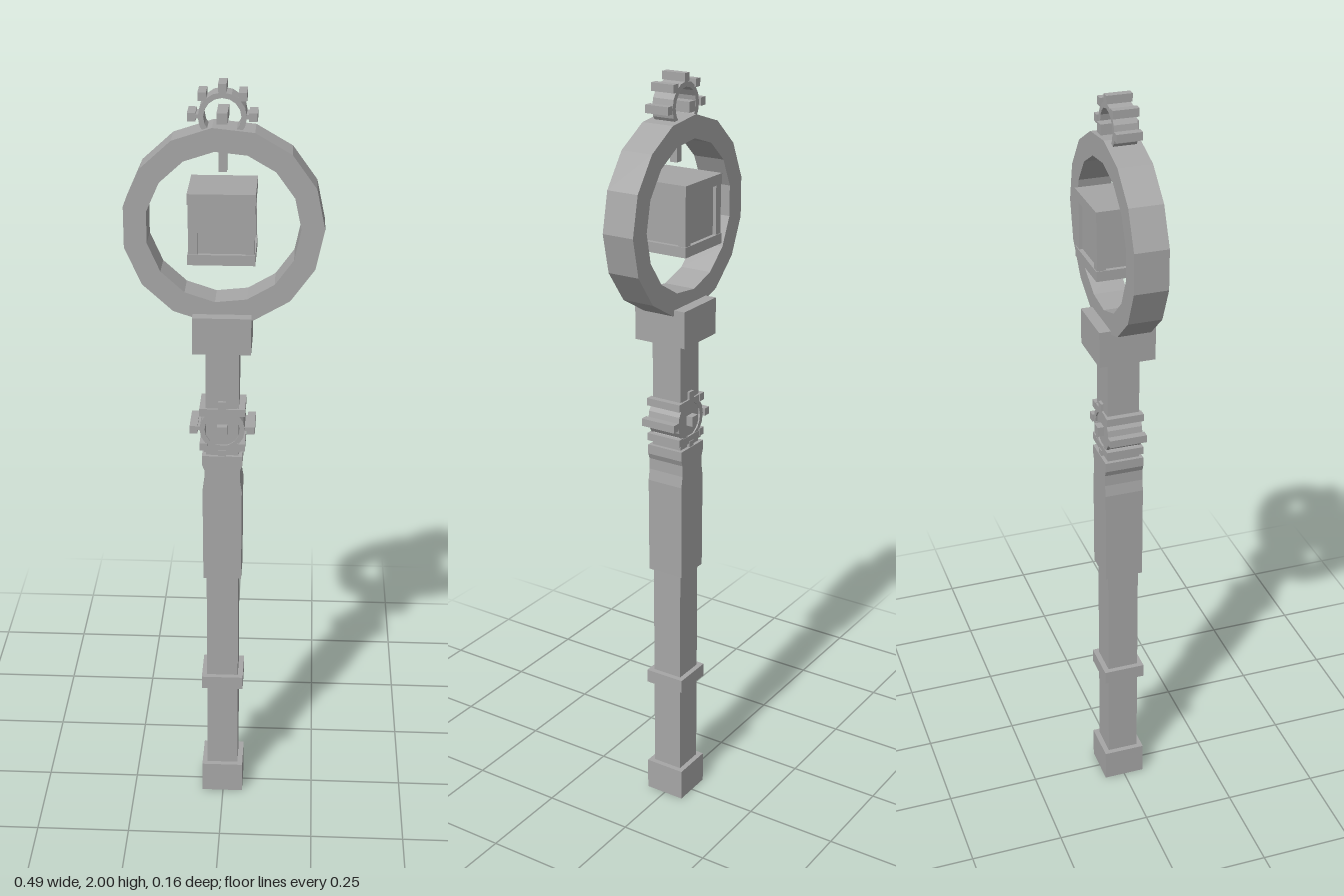
import * as THREE from 'three';

export function createModel() {
  const root = new THREE.Group();
  root.name = 'staff';
  const stone = new THREE.MeshStandardMaterial({ color: 0xa6a6a6, flatShading: true });
  stone.name = 'grey stone';
  const CX = -0.002; // the shaft sits a hair off the ring's axis

  const add = (geometry, name, parent = root) => {
    const mesh = new THREE.Mesh(geometry, stone);
    mesh.name = name;
    parent.add(mesh);
    return mesh;
  };

  const box = (name, w, h, d, x, y, z = 0, parent = root) => {
    const mesh = add(new THREE.BoxGeometry(w, h, d), name, parent);
    mesh.position.set(x, y, z);
    return mesh;
  };

  // Square block given by its bottom and top heights
  const block = (name, width, y0, y1) => box(name, width, y1 - y0, width, CX, (y0 + y1) / 2);

  const polygon = (radius, sides) => Array.from({ length: sides }, (_, i) => {
    const a = (i / sides) * Math.PI * 2;
    return new THREE.Vector2(radius * Math.cos(a), radius * Math.sin(a));
  });

  // Flat-sided ring facing z
  const ring = (name, outer, inner, sides, depth, y, parent = root) => {
    const shape = new THREE.Shape(polygon(outer, sides));
    shape.holes.push(new THREE.Path(polygon(inner, sides)));
    const geometry = new THREE.ExtrudeGeometry(shape, { depth, bevelEnabled: false });
    geometry.translate(0, 0, -depth / 2);
    const mesh = add(geometry, name, parent);
    mesh.position.set(0, y, 0);
    return mesh;
  };

  // Small gear: ring, eight teeth and a longer hub
  const gear = (name, y, depth, hubDepth) => {
    const group = new THREE.Group();
    group.name = name;
    group.position.set(CX, y, 0);
    ring('gearRing', 0.058, 0.045, 16, depth - 0.006, 0, group);
    for (let i = 0; i < 8; i++) {
      const a = (i * Math.PI) / 4;
      const r = i % 4 === 0 ? 0.073 : 0.068;
      box('gearTooth', 0.02, 0.02, depth, r * Math.cos(a), r * Math.sin(a), 0, group);
      const spoke = box('toothRoot', 0.014, 0.01, depth * 0.8, 0.06 * Math.cos(a), 0.06 * Math.sin(a), 0, group);
      spoke.rotation.z = a;
    }
    box('gearHub', 0.026, 0.026, hubDepth, 0, 0, 0, group);
    root.add(group);
  };

  // Shaft with its foot, collar and head block
  block('shaft', 0.084, 0.05, 1.38);
  block('foot', 0.112, 0, 0.088);
  block('collar', 0.112, 0.343, 0.38);
  block('headBlock', 0.146, 1.34, 1.435);

  // Grip, notched on both sides near its top
  const side = [[0.05, 0.69], [0.051, 0.95], [0.046, 0.98], [0.046, 1.01], [0.052, 1.025], [0.052, 1.05]];
  const outline = [...side, ...side.slice().reverse().map(([x, y]) => [-x, y])];
  const grip = new THREE.ExtrudeGeometry(
    new THREE.Shape(outline.map(([x, y]) => new THREE.Vector2(x, y))),
    { depth: 0.102, bevelEnabled: false }
  );
  grip.translate(CX, 0, -0.051);
  add(grip, 'grip');

  // Two slim bands under the lower gear
  block('gripBand', 0.094, 1.06, 1.08);
  block('upperBand', 0.094, 1.165, 1.18);

  gear('shaftGear', 1.123, 0.098, 0.118);
  gear('crownGear', 1.922, 0.064, 0.094);

  // Large fifteen-sided hoop
  ring('hoop', 0.246, 0.189, 15, 0.086, 1.655);

  // Hanging cube with framed panels
  const cube = new THREE.Group();
  cube.name = 'hangingCube';
  cube.position.set(CX, 1.663, 0);
  box('cubeCore', 0.142, 0.17, 0.142, 0, 0, 0, cube);
  for (const s of [-1, 1]) {
    box('cubeCap', 0.164, 0.026, 0.164, 0, s * 0.075, 0, cube);
    for (const t of [-1, 1]) box('cubePost', 0.022, 0.124, 0.022, s * 0.069, 0, t * 0.069, cube);
  }
  root.add(cube);

  // Pin hanging from the hoop
  box('pin', 0.02, 0.06, 0.02, CX, 1.815);

  return root;
}
